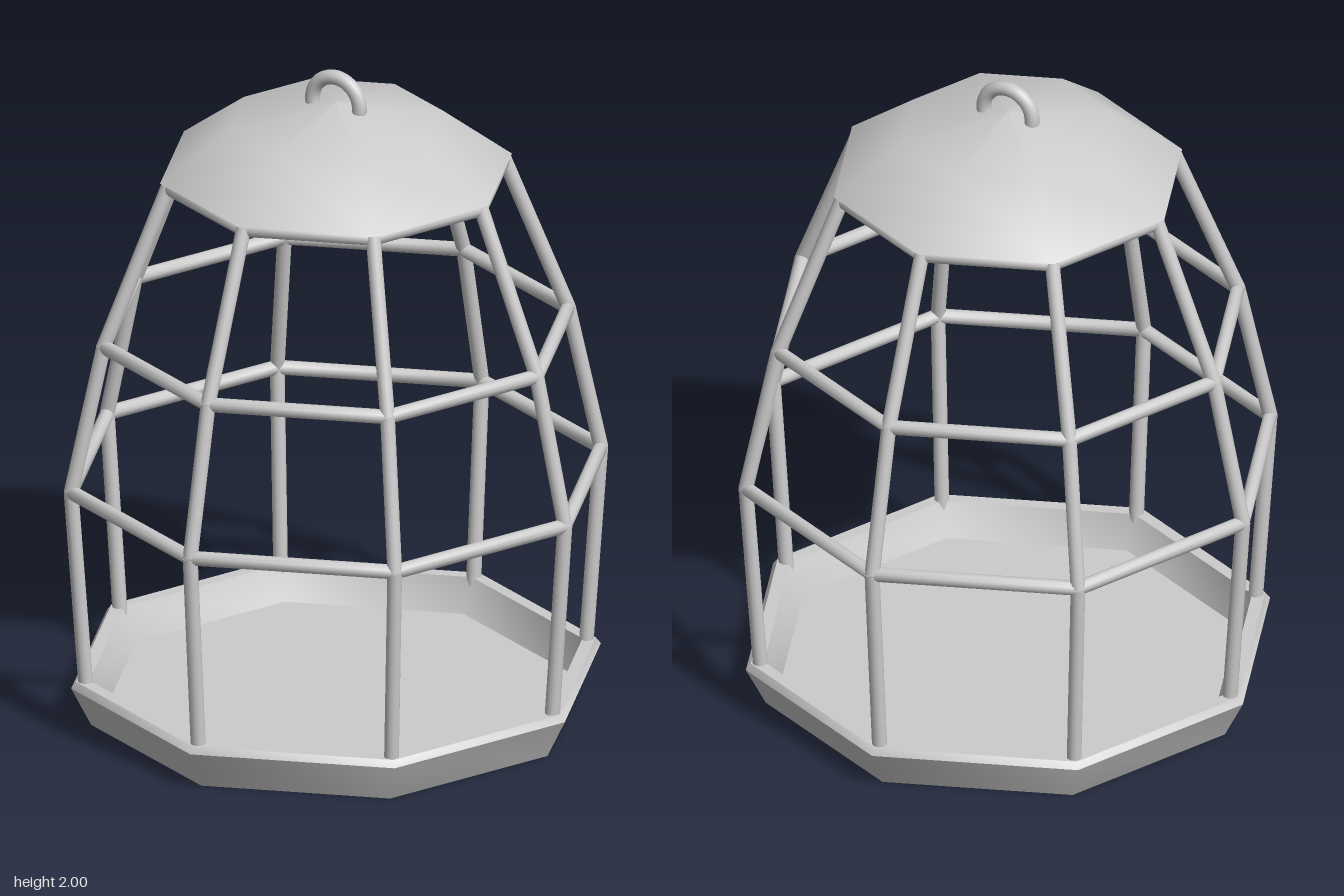
import * as THREE from 'three';
import { toCreasedNormals } from 'three/addons/utils/BufferGeometryUtils.js';

const SIDES = 8;
const BAR = 0.022;

export function createModel() {
  const model = new THREE.Group();
  model.name = 'birdCage';
  const mat = new THREE.MeshStandardMaterial({ color: 0xcccccc });
  const thin = new THREE.MeshStandardMaterial({ color: 0xcccccc, side: THREE.DoubleSide });

  const add = (name, geometry, material = mat, parent = model) => {
    const mesh = new THREE.Mesh(geometry, material);
    mesh.name = name;
    parent.add(mesh);
    return mesh;
  };
  const lathe = (points) =>
    new THREE.LatheGeometry(points.map(([r, y]) => new THREE.Vector2(r, y)), SIDES);

  // Octagonal tray: flared wall, bevelled rim and recessed floor
  const tray = lathe([[0, 0], [0.73, 0], [0.79, 0.12], [0.775, 0.14], [0.735, 0.14], [0.69, 0.04], [0, 0.04]]);
  add('tray', toCreasedNormals(tray, THREE.MathUtils.degToRad(50)));

  // Bent upright bars, one at each corner; each is three straight lengths
  const profile = [[0.745, 0.11], [0.79, 0.74], [0.693, 1.19], [0.5, 1.68]];
  const up = new THREE.Vector3(0, 1, 0);
  for (let i = 0; i < SIDES; i++) {
    const bar = new THREE.Group();
    bar.name = 'uprightBar';
    bar.rotation.y = (i * Math.PI * 2) / SIDES;
    for (let k = 0; k < profile.length - 1; k++) {
      const a = new THREE.Vector3(...profile[k], 0);
      const b = new THREE.Vector3(...profile[k + 1], 0);
      const length = a.distanceTo(b);
      const piece = add('barLength', new THREE.CylinderGeometry(BAR, BAR, length, 12), mat, bar);
      piece.position.copy(a).lerp(b, 0.5);
      piece.quaternion.setFromUnitVectors(up, b.sub(a).normalize());
    }
    model.add(bar);
  }

  // Octagonal hoops at each bend and under the roof
  for (const [name, r, y] of [['lowerHoop', 0.79, 0.74], ['upperHoop', 0.693, 1.19], ['roofHoop', 0.5, 1.675]]) {
    const hoop = add(name, new THREE.TorusGeometry(r, BAR, 12, SIDES));
    hoop.rotation.x = Math.PI / 2;
    hoop.position.y = y;
  }

  // Thin domed roof, open underneath
  add('roof', lathe([[0.525, 1.69], [0.318, 1.845], [0, 1.9]]), thin);

  // Half-ring hanging loop with its ends sunk into the roof
  const loop = add('hangingLoop', new THREE.TorusGeometry(0.081, BAR, 12, 24, Math.PI * 1.2));
  loop.rotation.z = -Math.PI * 0.1;
  loop.position.y = 1.897;

  return model;
}
